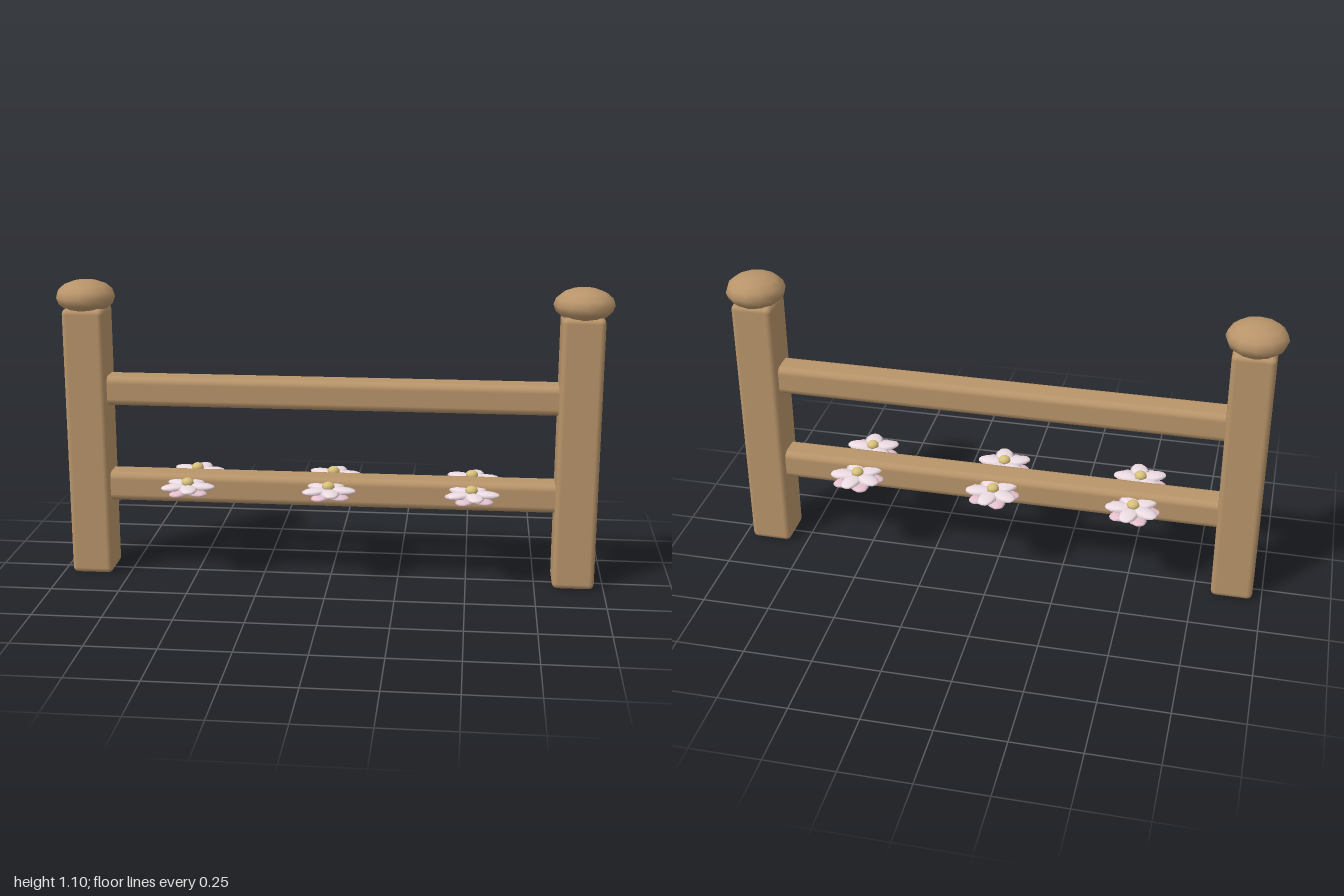
import * as THREE from 'three';
import { RoundedBoxGeometry } from 'three/addons/geometries/RoundedBoxGeometry.js';

const material = (color) => new THREE.MeshStandardMaterial({ color });
const wood = material(0xb8946a);
const paleBlossom = material(0xeedde4);
const pinkBlossom = material(0xe6c3cf);
const pollen = material(0xd8c27a);

function add(parent, name, geometry, mat, x = 0, y = 0, z = 0) {
  const mesh = new THREE.Mesh(geometry, mat);
  mesh.name = name;
  mesh.position.set(x, y, z);
  parent.add(mesh);
  return mesh;
}

// Flat, pointed petal lying along +x, starting at the flower's middle
function petalGeometry(length, width, thickness) {
  const geometry = new THREE.SphereGeometry(1, 8, 6);
  geometry.rotateZ(-Math.PI / 2);
  geometry.scale(length / 2, thickness / 2, width / 2);
  geometry.translate(length / 2, 0, 0);
  return geometry;
}

// Two rings of five petals around a round centre
function createFlower(upperPetal, lowerPetal, side) {
  const flower = new THREE.Group();
  flower.name = 'flower';
  for (let i = 0; i < 5; i++) {
    const angle = side * (0.11 + (i * Math.PI * 2) / 5);
    const upper = add(flower, 'upperPetal', upperPetal, paleBlossom, 0, 0.361, 0);
    upper.rotation.y = -angle;
    const lower = add(flower, 'lowerPetal', lowerPetal, pinkBlossom, 0, 0.346, 0);
    lower.rotation.y = -angle - side * Math.PI / 5;
  }
  const centre = add(flower, 'flowerCentre', new THREE.SphereGeometry(0.023, 10, 8), pollen, 0, 0.374, 0);
  centre.scale.y = 0.75;
  return flower;
}

export function createModel() {
  const model = new THREE.Group();
  model.name = 'flowerFence';

  // Posts with flattened round caps
  const postGeometry = new RoundedBoxGeometry(0.152, 1, 0.158, 2, 0.02);
  const capGeometry = new THREE.SphereGeometry(0.108, 12, 8);
  capGeometry.scale(1, 0.565, 1);
  for (const side of [-1, 1]) {
    add(model, 'post', postGeometry, wood, side * 0.89, 0.5, 0);
    add(model, 'postCap', capGeometry, wood, side * 0.892, 1.036, 0);
  }

  // Horizontal rails, their ends set into the posts
  const railGeometry = new RoundedBoxGeometry(1.7, 0.11, 0.108, 2, 0.026);
  add(model, 'upperRail', railGeometry, wood, 0, 0.695, 0);
  add(model, 'lowerRail', railGeometry, wood, 0, 0.333, 0);

  // Flowers along both sides of the lower rail
  const upperPetal = petalGeometry(0.102, 0.07, 0.022);
  const lowerPetal = petalGeometry(0.098, 0.07, 0.02);
  for (const x of [-0.515, 0, 0.515]) {
    for (const side of [-1, 1]) {
      const flower = createFlower(upperPetal, lowerPetal, side);
      flower.position.set(x, 0, side * 0.1);
      model.add(flower);
    }
  }
  return model;
}
